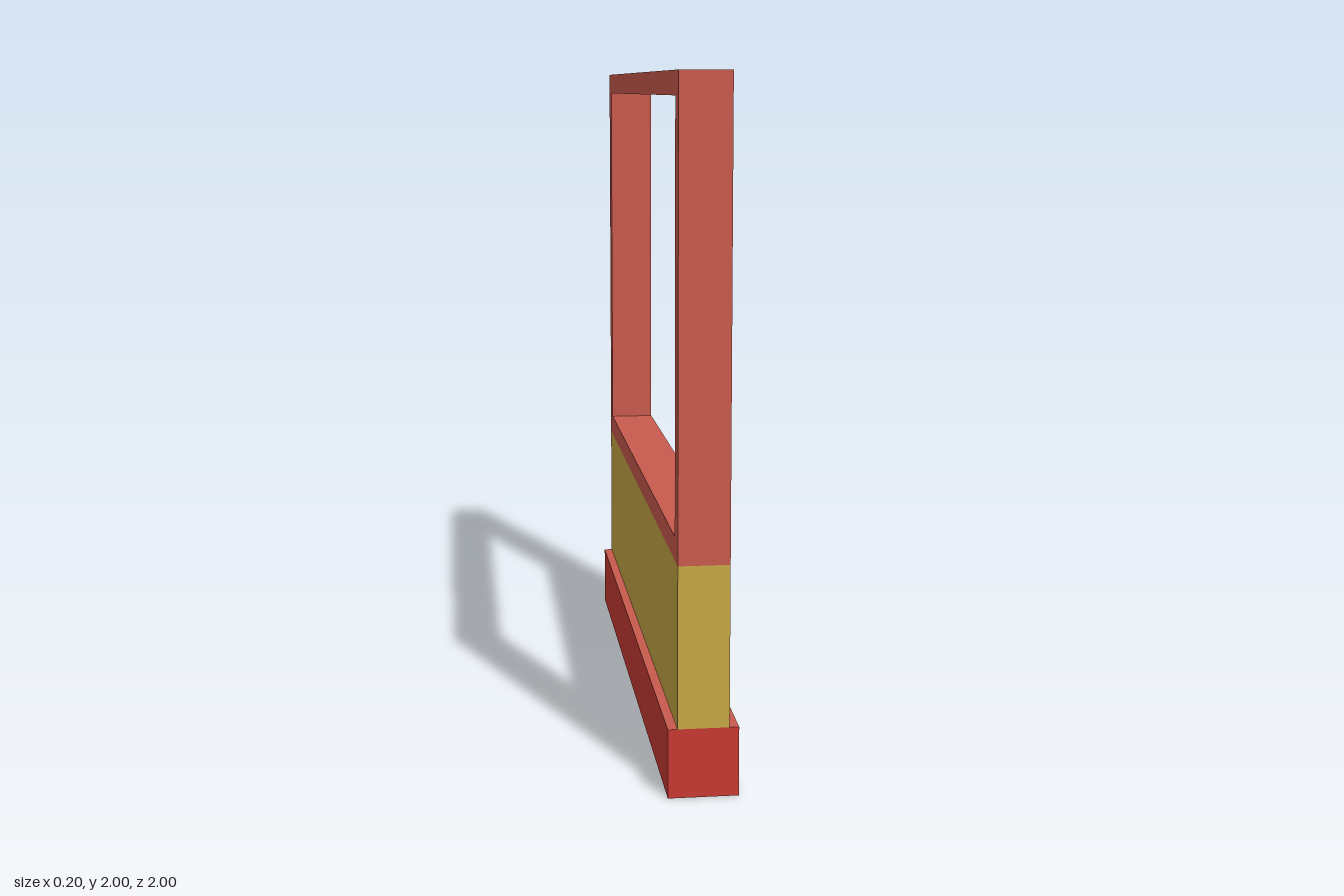
import * as THREE from 'three';

const material = (name, color, side = THREE.FrontSide) => {
  const m = new THREE.MeshStandardMaterial({ color, side });
  m.name = name;
  return m;
};

// Four upright walls of a box, open at top and bottom
function walls(width, height, depth) {
  const geometry = new THREE.BoxGeometry(width, height, depth);
  const index = Array.from(geometry.index.array);
  geometry.setIndex([...index.slice(0, 12), ...index.slice(24)]);
  geometry.clearGroups();
  return geometry;
}

export function createModel() {
  const group = new THREE.Group();
  const frameRed = material('soft red', 0xc95b4e, THREE.DoubleSide);
  const panelYellow = material('mustard yellow', 0xc8a848, THREE.DoubleSide);
  const baseRed = material('deep red', 0xc83a34, THREE.DoubleSide);

  const baseTop = 0.2, panelTop = 0.665, top = 2;
  const thickness = 0.146, border = 0.067;

  const add = (name, geometry, mat, y = 0) => {
    const mesh = new THREE.Mesh(geometry, mat);
    mesh.name = name;
    mesh.position.y = y;
    group.add(mesh);
  };

  // Plinth, hollow underneath, with a lighter top face
  add('base', walls(0.2, baseTop, 2), baseRed, baseTop / 2);
  add('baseTop', new THREE.PlaneGeometry(0.2, 2).rotateX(-Math.PI / 2), frameRed, baseTop);

  // Solid lower panel
  add('lowerPanel', walls(thickness, panelTop - baseTop, 2), panelYellow, (baseTop + panelTop) / 2);

  // Window frame around a rectangular opening
  const rectangle = (Type, inset) => {
    const z = 1 - inset, y0 = panelTop + inset, y1 = top - inset;
    return new Type([[-z, y0], [z, y0], [z, y1], [-z, y1]].map(([a, b]) => new THREE.Vector2(a, b)));
  };
  const outline = rectangle(THREE.Shape, 0);
  outline.holes.push(rectangle(THREE.Path, border));
  const frame = new THREE.ExtrudeGeometry(outline, { depth: thickness, bevelEnabled: false });
  frame.translate(0, 0, -thickness / 2).rotateY(Math.PI / 2);
  add('windowFrame', frame, frameRed);

  return group;
}
